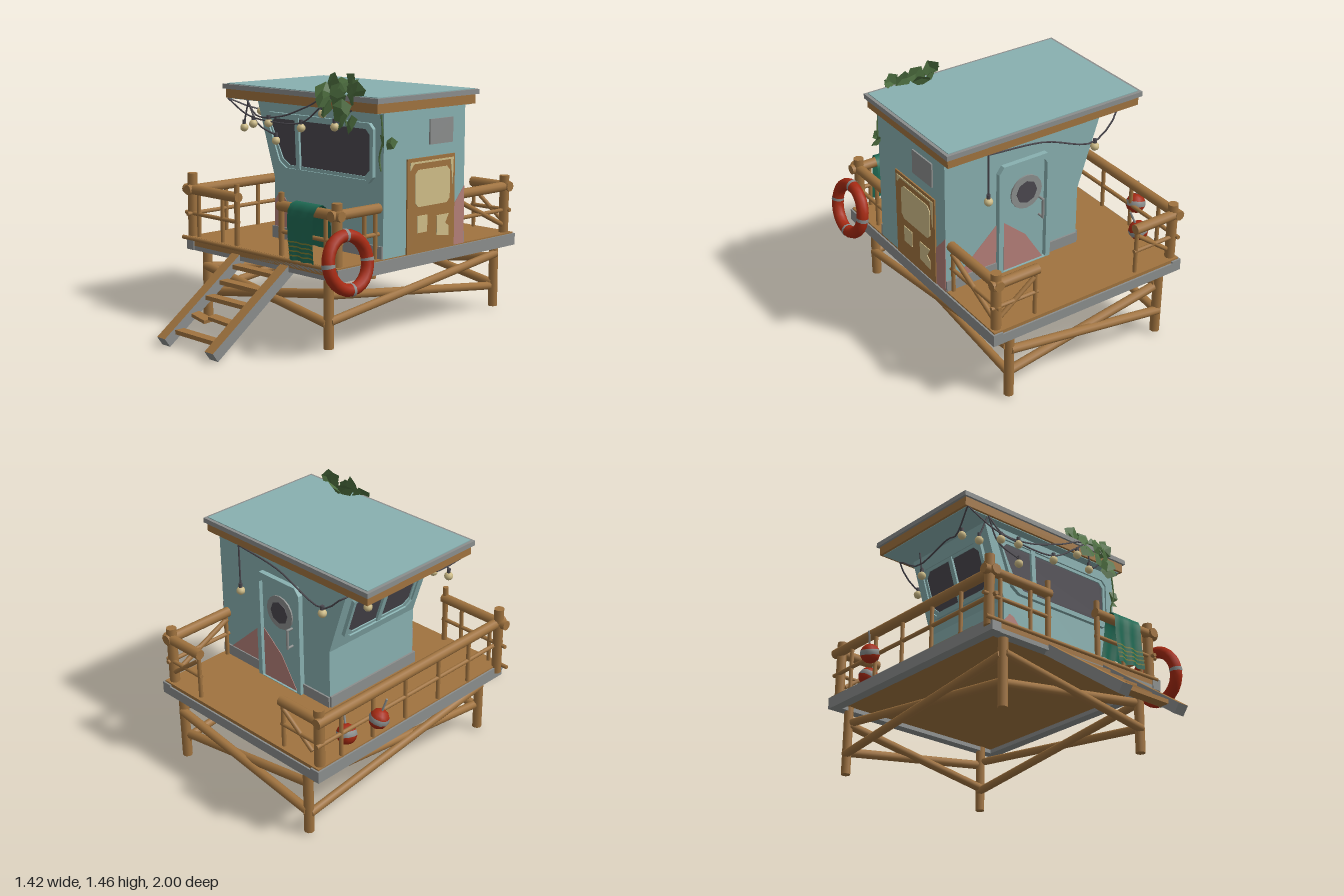
import * as THREE from 'three';

const mat = (name, color, side = THREE.FrontSide) => {
  const m = new THREE.MeshStandardMaterial({ color, side });
  m.name = name;
  return m;
};
const V = (x, y, z) => new THREE.Vector3(x, y, z);

export function createModel() {
  const wood = mat('wood', 0xa0733f), blue = mat('paintedBlue', 0x88b0b0), grey = mat('weatheredGrey', 0x8b8e8d);
  const pink = mat('fadedPink', 0xb47f78), dark = mat('darkGlass', 0x4b484f), cream = mat('cream', 0xcfbd88);
  const red = mat('buoyRed', 0xa62a12), towelGreen = mat('towelGreen', 0x1f6a54, THREE.DoubleSide);
  const leafGreen = mat('leafGreen', 0x4e7040, THREE.DoubleSide), olive = mat('oliveStripe', 0x7a7c32, THREE.DoubleSide);

  const model = new THREE.Group();
  model.name = 'lifeguardHut';
  const group = (name, parent = model) => {
    const g = new THREE.Group();
    g.name = name;
    parent.add(g);
    return g;
  };
  const add = (parent, name, geo, m, x = 0, y = 0, z = 0) => {
    const o = new THREE.Mesh(geo, m);
    o.name = name;
    o.position.set(x, y, z);
    parent.add(o);
    return o;
  };
  // box given by its min and max corners
  const box = (p, name, m, x0, x1, y0, y1, z0, z1) =>
    add(p, name, new THREE.BoxGeometry(x1 - x0, y1 - y0, z1 - z0), m, (x0 + x1) / 2, (y0 + y1) / 2, (z0 + z1) / 2);
  // round bar between two points
  const bar = (p, name, a, b, r, m = wood) => {
    const A = V(...a), B = V(...b);
    const o = add(p, name, new THREE.CylinderGeometry(r, r, A.distanceTo(B), 10), m);
    o.position.copy(A).add(B).multiplyScalar(0.5);
    o.quaternion.setFromUnitVectors(V(0, 1, 0), B.sub(A).normalize());
    return o;
  };
  // flat plate extruded out of a wall plane
  const plate = (p, name, m, pts, depth = 0.006, hole = null) => {
    const s = new THREE.Shape(pts.map(q => new THREE.Vector2(...q)));
    if (hole) s.holes.push(new THREE.Path(hole.map(q => new THREE.Vector2(...q))));
    return add(p, name, new THREE.ExtrudeGeometry(s, { depth, bevelEnabled: false }), m);
  };
  const rect = (a, b, c, d) => [[a, c], [b, c], [b, d], [a, d]];
  const chamfer = (a, b, c, d, k) => [[a + k, c], [b - k, c], [b, c + k], [b, d - k], [b - k, d], [a + k, d], [a, d - k], [a, c + k]];
  const shrink = (pts, t) => {
    const xs = pts.map(q => q[0]), ys = pts.map(q => q[1]);
    const cx = (Math.min(...xs) + Math.max(...xs)) / 2, cy = (Math.min(...ys) + Math.max(...ys)) / 2;
    return pts.map(([x, y]) => [x + Math.sign(cx - x) * t, y + Math.sign(cy - y) * t]);
  };
  const wall = (name, origin, X, Y) => {
    const g = group(name);
    g.applyMatrix4(new THREE.Matrix4().makeBasis(X, Y, X.clone().cross(Y)).setPosition(origin));
    return g;
  };
  const framedWindow = (p, pts) => {
    plate(p, 'windowFrame', blue, pts, 0.022, shrink(pts, 0.016));
    plate(p, 'innerFrame', blue, shrink(pts, 0.016), 0.012, shrink(pts, 0.034));
    plate(p, 'glass', dark, shrink(pts, 0.03), 0.005);
  };

  // deck with grey edge beams
  const deck = group('deck');
  box(deck, 'deckBoards', wood, -0.62, 0.61, 0.43, 0.482, -0.99, 0.465);
  for (const x of [-0.6, 0.59]) box(deck, 'sideBeam', grey, x - 0.03, x + 0.03, 0.405, 0.474, -1, 0.47);
  for (const z of [-0.97, 0.435]) box(deck, 'endBeam', grey, -0.63, 0.62, 0.405, 0.462, z - 0.03, z + 0.03);

  // legs and crossed braces
  const legs = group('legs'), LX = [-0.51, 0.495], LZ = [-0.96, 0.415];
  for (const x of LX) {
    for (const z of LZ) bar(legs, 'leg', [x, 0.02, z], [x, 0.43, z], 0.028);
    bar(legs, 'sideBrace', [x - 0.012, 0.31, LZ[1]], [x - 0.012, 0.14, LZ[0]], 0.024);
    bar(legs, 'sideBrace', [x + 0.012, 0.17, LZ[1]], [x + 0.012, 0.34, LZ[0]], 0.024);
  }
  for (const z of LZ) {
    bar(legs, 'endBrace', [LX[0], 0.32, z + 0.012], [LX[1], 0.16, z + 0.012], 0.026);
    bar(legs, 'endBrace', [LX[0], 0.16, z - 0.012], [LX[1], 0.32, z - 0.012], 0.026);
  }

  // front steps with one broken tread
  const steps = group('steps');
  for (const x of [-0.2, 0.203]) {
    const s = add(steps, 'stringer', new THREE.BoxGeometry(0.068, 0.06, 0.66), [grey, grey, wood, grey, grey, grey], x, 0.222, 0.716);
    s.rotation.x = 0.625;
  }
  for (const [y, z] of [[0.08, 0.9], [0.235, 0.685], [0.305, 0.585], [0.378, 0.49]])
    box(steps, 'tread', wood, -0.175, 0.175, y - 0.012, y + 0.012, z - 0.03, z + 0.03);
  const t1 = box(steps, 'brokenTread', wood, -0.17, -0.045, 0.138, 0.158, 0.765, 0.82);
  t1.rotation.set(0.1, -0.08, -0.13);
  const t2 = box(steps, 'brokenTread', wood, -0.02, 0.17, 0.152, 0.172, 0.765, 0.82);
  t2.rotation.set(0.1, 0, -0.05);

  // hut body with the leaning left wall
  const body = plate(group('hut'), 'walls', blue, [[-0.25, 0.48], [0.61, 0.48], [0.61, 1.285], [-0.402, 1.285], [-0.25, 0.83]], 0.66);
  body.position.z = -0.54;

  // front wall
  const front = wall('frontWall', V(0, 0, 0.12), V(1, 0, 0), V(0, 1, 0));
  framedWindow(front, [[-0.15, 0.885], [0.515, 0.885], [0.55, 0.92], [0.55, 1.18], [0.52, 1.21], [-0.28, 1.21], [-0.305, 1.18], [-0.205, 0.92]]);
  plate(front, 'mullion', blue, [[-0.05, 0.9], [-0.02, 0.9], [-0.035, 1.2], [-0.065, 1.2]], 0.02);
  plate(front, 'fadedPatch', pink, [[-0.25, 0.55], [-0.01, 0.55], [-0.18, 0.74], [-0.21, 0.75], [-0.25, 0.7]], 0.003);
  plate(front, 'baseBoard', grey, rect(-0.26, 0.61, 0.48, 0.55), 0.012);

  // right wall: boarded door and vent
  const right = wall('rightWall', V(0.61, 0, 0), V(0, 0, -1), V(0, 1, 0));
  plate(right, 'sideDoor', wood, rect(0.06, 0.45, 0.48, 1.005), 0.008);
  plate(right, 'doorPane', cream, chamfer(0.12, 0.405, 0.735, 0.94, 0.025), 0.012);
  plate(right, 'wornPatch', cream, rect(0.14, 0.22, 0.59, 0.685), 0.012);
  plate(right, 'wornPatch', cream, [[0.3, 0.56], [0.4, 0.545], [0.4, 0.6], [0.37, 0.62], [0.4, 0.67], [0.3, 0.67]], 0.012);
  plate(right, 'wornEdge', cream, [[0.08, 0.94], [0.11, 0.975], [0.41, 0.975], [0.43, 0.83], [0.435, 0.985], [0.08, 0.985]], 0.012);
  plate(right, 'vent', grey, rect(0.24, 0.43, 1.07, 1.21), 0.009);
  plate(right, 'fadedPatch', pink, [[0.45, 0.48], [0.54, 0.48], [0.54, 0.81], [0.45, 0.71]], 0.003);

  // back wall: door with porthole
  const back = wall('backWall', V(0, 0, -0.54), V(-1, 0, 0), V(0, 1, 0));
  const doorEdge = [[-0.29, 0.48], [0.05, 0.48], [0.05, 1.1], [0.02, 1.14], [-0.26, 1.14], [-0.29, 1.1]];
  plate(back, 'doorFrame', blue, doorEdge, 0.03, [[-0.26, 0.485], [0.02, 0.485], [0.02, 1.08], [0, 1.11], [-0.24, 1.11], [-0.26, 1.08]]);
  plate(back, 'backDoor', blue, rect(-0.25, 0.01, 0.48, 1.1), 0.015);
  plate(back, 'doorPink', pink, [[-0.25, 0.48], [0.01, 0.48], [-0.11, 0.67], [-0.25, 0.79]], 0.018);
  plate(back, 'fadedPatch', pink, [[-0.55, 0.54], [-0.29, 0.54], [-0.29, 0.78]], 0.003);
  plate(back, 'baseBoard', grey, rect(-0.61, -0.29, 0.48, 0.545), 0.01);
  plate(back, 'baseBoard', grey, rect(0.05, 0.25, 0.48, 0.545), 0.01);
  add(back, 'portholeRing', new THREE.CylinderGeometry(0.1, 0.1, 0.012, 16), grey, -0.11, 0.94, 0.018).rotation.x = Math.PI / 2;
  add(back, 'portholeGlass', new THREE.CylinderGeometry(0.066, 0.066, 0.012, 8), dark, -0.11, 0.94, 0.022).rotation.x = Math.PI / 2;
  bar(back, 'doorHandle', [-0.02, 0.76, 0.052], [-0.02, 0.88, 0.052], 0.008, grey);
  for (const y of [0.765, 0.875]) bar(back, 'handleMount', [-0.02, y, 0.01], [-0.02, y, 0.052], 0.007, grey);

  // left wall: leaning window and base board
  const left = wall('leftWall', V(-0.25, 0.83, 0), V(0, 0, 1), V(-0.3168, 0.9485, 0));
  framedWindow(left, chamfer(-0.48, 0.06, 0.07, 0.39, 0.035));
  plate(left, 'mullion', blue, rect(-0.225, -0.195, 0.09, 0.37), 0.02);
  box(model, 'leftBaseBoard', grey, -0.262, -0.25, 0.48, 0.55, -0.54, 0.132);

  // roof
  const roof = group('roof');
  box(roof, 'fascia', wood, -0.595, 0.63, 1.272, 1.327, -0.605, 0.19);
  box(roof, 'soffit', blue, -0.58, 0.615, 1.268, 1.274, -0.59, 0.175);
  box(roof, 'roofEdge', grey, -0.61, 0.643, 1.325, 1.353, -0.62, 0.203);
  box(roof, 'roofTop', blue, -0.592, 0.625, 1.35, 1.357, -0.602, 0.185);

  // railings
  const rails = group('railings'), R = 0.029;
  const post = (x, z, y1, r = R, y0 = 0.46) => bar(rails, 'post', [x, y0, z], [x, y1, z], r);
  const fence = (x0, z0, x1, z1, uprights) => {
    bar(rails, 'topRail', [x0, 0.755, z0], [x1, 0.755, z1], R);
    bar(rails, 'midRail', [x0, 0.615, z0], [x1, 0.615, z1], 0.012);
    for (const t of uprights) post(x0 + (x1 - x0) * t, z0 + (z1 - z0) * t, 0.74, 0.012);
  };
  post(-0.62, 0.43, 0.85, R, 0.44);
  post(0.573, 0.43, 0.82);
  post(-0.215, 0.44, 0.83, 0.016);
  post(0.155, 0.44, 0.83, 0.016);
  post(-0.59, -0.95, 0.82);
  post(0.573, -0.95, 0.82);
  fence(-0.67, 0.44, -0.2, 0.44, [0.25, 0.7]);
  fence(0.14, 0.44, 0.62, 0.44, [0.45, 0.75]);
  bar(rails, 'footRail', [-0.67, 0.47, 0.465], [0.6, 0.47, 0.465], 0.012);
  fence(-0.61, 0.48, -0.61, -0.99, [0.2, 0.37, 0.55, 0.72, 0.88]);
  fence(0.575, 0.48, 0.575, 0.12, [0.7, 0.93]);
  fence(0.575, -0.54, 0.575, -0.99, [0.04]);
  bar(rails, 'sideDiagonal', [0.575, 0.71, -0.55], [0.575, 0.53, -0.93], 0.015);
  for (const s of [-1, 1]) {
    fence(s * 0.61, -0.96, s * 0.32, -0.96, [0.95]);
    bar(rails, 'backDiagonal', [s * 0.55, 0.55, -0.96], [s * 0.34, 0.71, -0.96], 0.013);
  }

  // lifebuoy leaning on the front corner
  const ring = group('lifebuoy');
  ring.position.set(0.648, 0.515, 0.423);
  ring.rotation.set(0, Math.PI / 2, 0.17, 'ZYX');
  add(ring, 'ring', new THREE.TorusGeometry(0.143, 0.035, 10, 24), red);
  for (let i = 0; i < 4; i++)
    add(ring, 'band', new THREE.TorusGeometry(0.143, 0.037, 10, 2, 0.13), grey).rotation.z = i * Math.PI / 2 - 0.065;

  // hanging floats in red and grey bands
  for (const [x, y, z, tilt] of [[-0.65, 0.61, -0.575, 0.25], [-0.555, 0.54, -0.72, -0.35]]) {
    const f = group('float');
    f.position.set(x, y, z);
    f.rotation.set(0.2, 0, tilt);
    [[0, 1.2, red], [1.2, 0.55, grey], [1.75, Math.PI - 1.75, red]].forEach(([a, l, m]) =>
      add(f, 'floatBand', new THREE.SphereGeometry(0.057, 10, 3, 0, Math.PI * 2, a, l), m));
    bar(f, 'floatRope', [0, 0.05, 0], [0, 0.13, 0], 0.006, grey);
  }

  // towel draped over the front rail
  const drape = new THREE.CatmullRomCurve3([V(0, 0.55, 0.36), V(0, 0.68, 0.375), V(0, 0.775, 0.4), V(0, 0.798, 0.44), V(0, 0.77, 0.478), V(0, 0.63, 0.488), V(0, 0.485, 0.49)]);
  const sheet = (name, m, v0, v1, off) => {
    const g = new THREE.PlaneGeometry(1, 1, 10, 16), p = g.attributes.position;
    for (let i = 0; i < p.count; i++) {
      const u = p.getX(i) + 0.5, v = v0 + (v1 - v0) * (0.5 - p.getY(i)), c = drape.getPointAt(v);
      const hang = Math.abs(v - 0.45);
      p.setXYZ(i, 0.26 + 0.205 * u + 0.02 * (0.5 - u) * hang + 0.012 * Math.sin(v * 7), c.y, c.z + off + 0.018 * hang * Math.sin(u * 14));
    }
    g.computeVertexNormals();
    add(towel, name, g, m);
  };
  const towel = group('towel');
  sheet('towelCloth', towelGreen, 0, 1, 0);
  for (const v of [0.83, 0.87, 0.91, 0.95]) sheet('towelStripe', olive, v, v + 0.013, 0.004);

  // string lights
  const lights = group('stringLights');
  const wire = pts => add(lights, 'wire', new THREE.TubeGeometry(new THREE.CatmullRomCurve3(pts.map(q => V(...q))), 28, 0.005, 5), dark);
  wire([[-0.58, 1.27, 0.19], [-0.4, 1.19, 0.2], [-0.2, 1.165, 0.2], [0.06, 1.18, 0.2], [0.22, 1.28, 0.21], [0.32, 1.36, 0.2]]);
  wire([[-0.42, 1.27, 0.18], [-0.33, 1.19, 0.19], [-0.12, 1.2, 0.19], [0.1, 1.27, 0.2], [0.3, 1.34, 0.21], [0.35, 1.2, 0.21], [0.45, 1.28, 0.2]]);
  wire([[-0.42, 1.27, 0.18], [-0.34, 1.14, 0.17], [-0.185, 1.085, 0.17]]);
  wire([[-0.58, 1.27, 0.19], [-0.5, 1.2, 0], [-0.42, 1.27, -0.2], [-0.46, 1.17, -0.4], [-0.45, 1.27, -0.6], [-0.29, 1.15, -0.625], [0.05, 1.25, -0.62], [0.38, 1.27, -0.6]]);
  const bulbs = [[-0.48, 1.19, 0.02], [-0.47, 1.105, 0.16], [-0.42, 1.125, -0.42], [-0.345, 1.14, 0.2], [-0.215, 1.155, 0.2], [-0.185, 1.055, 0.17],
    [0.055, 1.15, 0.2], [0.235, 1.245, 0.21], [0.33, 1.18, 0.21], [-0.29, 1.12, -0.625], [0.38, 0.99, -0.6]];
  for (const [x, y, z] of bulbs) {
    add(lights, 'bulb', new THREE.IcosahedronGeometry(0.025, 1), cream, x, y, z);
    bar(lights, 'bulbCap', [x, y + 0.02, z], [x, y + 0.045, z], 0.011, dark);
  }
  bar(lights, 'dropWire', [0.38, 1.02, -0.6], [0.38, 1.28, -0.6], 0.005, dark);
  bar(lights, 'dropWire', [-0.47, 1.13, 0.16], [-0.42, 1.27, 0.17], 0.005, dark);
  bar(lights, 'dropWire', [-0.42, 1.15, -0.42], [-0.44, 1.27, -0.42], 0.005, dark);

  // creeper over the roof edge, folded five-sided leaves
  let seed = 7;
  const rnd = () => (seed = (seed * 16807) % 2147483647) / 2147483647;
  const plant = group('creeper');
  const spots = [[0.22, 1.37, 0.19], [0.28, 1.4, 0.12], [0.27, 1.33, 0.24], [0.33, 1.37, 0.2], [0.36, 1.42, 0.13], [0.38, 1.34, 0.24], [0.42, 1.39, 0.17],
    [0.45, 1.35, 0.22], [0.48, 1.38, 0.2], [0.43, 1.29, 0.26], [0.29, 1.28, 0.25], [0.43, 1.23, 0.27], [0.47, 1.21, 0.24], [0.4, 1.26, 0.24],
    [0.34, 1.4, 0.1], [0.25, 1.42, 0.16], [0.6, 1.12, 0.13], [0.64, 1.11, 0.1]];
  spots.forEach(([x, y, z], i) => {
    const g = new THREE.CircleGeometry(i > 15 ? 0.038 : 0.055, 5), p = g.attributes.position;
    for (let k = 0; k < p.count; k++) p.setZ(k, -Math.abs(p.getY(k)) * 0.35);
    const flat = g.toNonIndexed();
    flat.computeVertexNormals();
    add(plant, 'leaf', flat, leafGreen, x, y, z).rotation.set(-0.7 + rnd() * 0.9, (rnd() - 0.5) * 1.4, rnd() * 6);
  });
  const stem = pts => add(plant, 'stem', new THREE.TubeGeometry(new THREE.CatmullRomCurve3(pts.map(q => V(...q))), 10, 0.005, 5), leafGreen);
  stem([[0.28, 1.36, 0.15], [0.38, 1.36, 0.21], [0.43, 1.28, 0.24], [0.45, 1.2, 0.24]]);
  stem([[0.6, 1.26, 0.13], [0.61, 1.12, 0.13], [0.585, 1.03, 0.128], [0.6, 0.96, 0.13]]);

  return model;
}
